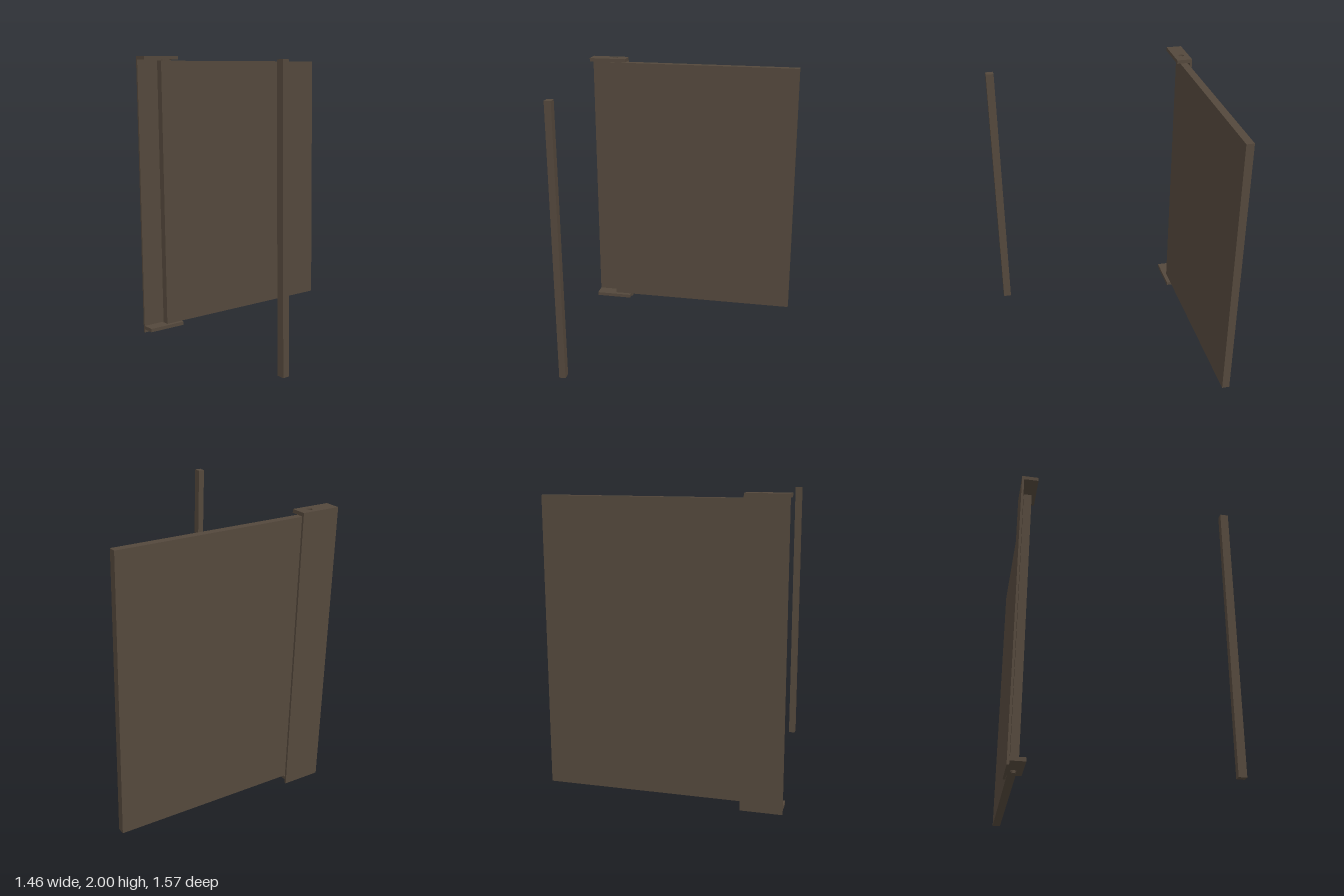
import * as THREE from 'three';

export function createModel() {
  const model = new THREE.Group();
  model.name = 'pivotDoor';
  const bronze = new THREE.MeshStandardMaterial({ color: 0x54483c });
  bronze.name = 'dark bronze';

  const add = (name, geometry, parent = model) => {
    const mesh = new THREE.Mesh(geometry, bronze);
    mesh.name = name;
    parent.add(mesh);
    return mesh;
  };
  // Box given by its lower and upper bounds
  const box = (name, [x0, y0, z0], [x1, y1, z1], parent) =>
    add(name, new THREE.BoxGeometry(x1 - x0, y1 - y0, z1 - z0), parent)
      .position.set((x0 + x1) / 2, (y0 + y1) / 2, (z0 + z1) / 2);

  const pivotX = -0.676, pivotZ = 0.6;

  // Door leaf and the separate stop post
  box('doorLeaf', [-0.702, 0.05, -0.787], [-0.649, 1.968, 0.635]);
  box('stopPost', [0.675, 0.05, 0.625], [0.73, 1.968, 0.67]);

  // Pivot frame: back plate with a flange at each end
  const frame = new THREE.Group();
  frame.name = 'pivotFrame';
  model.add(frame);
  box('backPlate', [-0.73, 0, 0.512], [-0.715, 1.975, 0.787], frame);

  // Flange lying flat, with a round hole for the pivot pin
  const flange = (name, x0, y0, y1, holeRadius) => {
    const shape = new THREE.Shape();
    shape.moveTo(x0, -0.787).lineTo(-0.62, -0.787).lineTo(-0.62, -0.512).lineTo(x0, -0.512).closePath();
    shape.holes.push(new THREE.Path().absarc(pivotX, -pivotZ, holeRadius, 0, Math.PI * 2, true));
    const geometry = new THREE.ExtrudeGeometry(shape, { depth: y1 - y0, bevelEnabled: false, curveSegments: 16 });
    geometry.rotateX(-Math.PI / 2);
    add(name, geometry, frame).position.y = y0;
  };
  flange('topFlange', -0.73, 1.975, 2, 0.019);
  flange('bottomFlange', -0.715, 0.025, 0.05, 0.019);

  // Pivot pins joining the leaf to the flanges
  for (const [name, y0, y1] of [['topPin', 1.96, 1.992], ['bottomPin', 0.01, 0.06]]) {
    add(name, new THREE.CylinderGeometry(0.012, 0.012, y1 - y0, 24))
      .position.set(pivotX, (y0 + y1) / 2, pivotZ);
  }
  return model;
}
